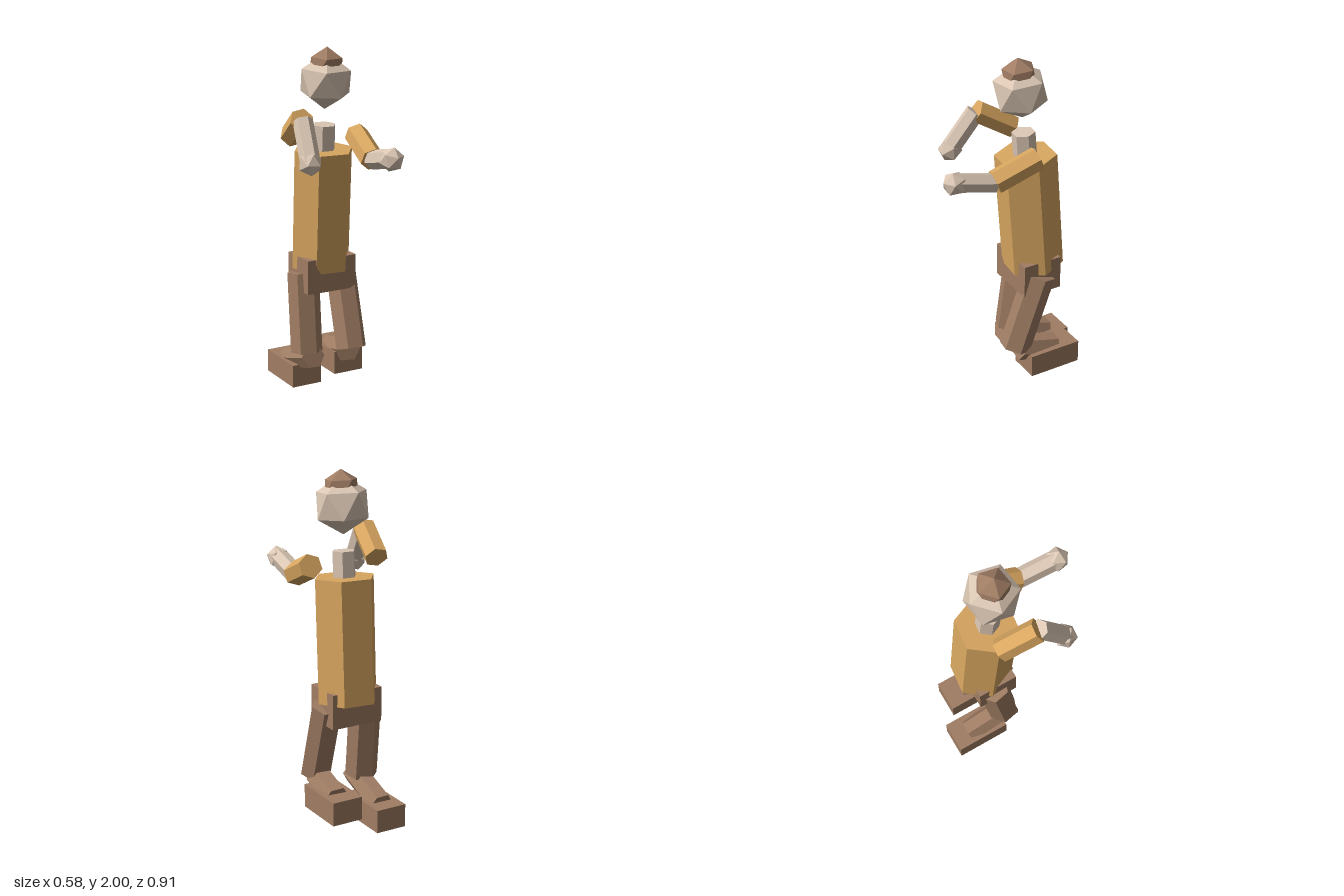
import * as THREE from 'three';

const material = (name, color) => {
  const m = new THREE.MeshStandardMaterial({ color, flatShading: true });
  m.name = name;
  return m;
};

export function createModel() {
  const shirt = material('ochre shirt', 0xd8a660);
  const skin = material('pale skin', 0xdac6b3);
  const brown = material('brown cloth', 0xa07d64);
  const figure = new THREE.Group();
  figure.name = 'figure';
  const rad = THREE.MathUtils.degToRad;
  const up = new THREE.Vector3(0, 1, 0);

  const add = (name, geometry, mat, x, y, z) => {
    const mesh = new THREE.Mesh(geometry, mat);
    mesh.name = name;
    mesh.position.set(x, y, z);
    figure.add(mesh);
    return mesh;
  };

  // Six-sided prism running from one joint to the next
  const limb = (name, mat, from, to, radius, twist = 30) => {
    const a = new THREE.Vector3(...from), b = new THREE.Vector3(...to);
    const dir = b.clone().sub(a);
    const geometry = new THREE.CylinderGeometry(radius, radius, dir.length(), 6);
    geometry.rotateY(rad(twist));
    const mid = a.add(b).multiplyScalar(0.5);
    add(name, geometry, mat, mid.x, mid.y, mid.z).quaternion.setFromUnitVectors(up, dir.normalize());
  };

  // Twenty-sided ball standing on one corner
  const ball = (name, mat, [x, y, z], radius, yaw = 26, lean = 5) => {
    const geometry = new THREE.IcosahedronGeometry(radius, 0);
    geometry.rotateZ(-Math.atan(2 / (1 + Math.sqrt(5))));
    geometry.rotateY(rad(yaw));
    geometry.rotateX(rad(lean));
    add(name, geometry, mat, x, y, z);
  };

  const box = (name, mat, [x0, x1], [y0, y1], [z0, z1]) =>
    add(name, new THREE.BoxGeometry(x1 - x0, y1 - y0, z1 - z0), mat,
      (x0 + x1) / 2, (y0 + y1) / 2, (z0 + z1) / 2);

  // Trunk, neck and head
  box('pelvis', brown, [-0.12, 0.195], [0.59, 0.79], [-0.275, -0.035]);
  limb('torso', shirt, [0.043, 0.712, -0.18], [0.035, 1.413, -0.13], 0.177, 23.5);
  limb('neck', skin, [0.035, 1.4, -0.128], [0.033, 1.556, -0.116], 0.067, 23.5);
  ball('head', skin, [0.03, 1.806, -0.096], 0.162);
  ball('hair', brown, [0.03, 1.897, -0.088], 0.103);

  // Raised right arm
  limb('rightUpperArm', shirt, [-0.155, 1.503, -0.157], [-0.2, 1.628, 0.05], 0.068);
  limb('rightForearm', skin, [-0.198, 1.625, 0.055], [-0.232, 1.415, 0.205], 0.056);
  ball('rightHand', skin, [-0.232, 1.415, 0.2], 0.07, 10, 35);

  // Left arm held forward
  limb('leftUpperArm', shirt, [0.227, 1.487, -0.092], [0.187, 1.387, 0.155], 0.069, 40);
  limb('leftForearm', skin, [0.19, 1.387, 0.155], [0.165, 1.435, 0.385], 0.056, 40);
  ball('leftHand', skin, [0.166, 1.432, 0.39], 0.07, 10, 75);

  // Legs with bent knees
  limb('rightThigh', brown, [-0.08, 0.69, -0.168], [-0.09, 0.22, -0.11], 0.093);
  limb('rightShin', brown, [-0.085, 0.21, -0.04], [-0.077, 0.11, -0.35], 0.073);
  limb('leftThigh', brown, [0.16, 0.693, -0.155], [0.147, 0.235, 0], 0.092);
  limb('leftShin', brown, [0.146, 0.22, -0.03], [0.162, 0.165, -0.26], 0.078);

  // Block shoes
  box('rightShoe', brown, [-0.17, 0.016], [0, 0.135], [-0.457, -0.132]);
  box('leftShoe', brown, [0.067, 0.254], [0.066, 0.203], [-0.377, -0.055]);

  return figure;
}
